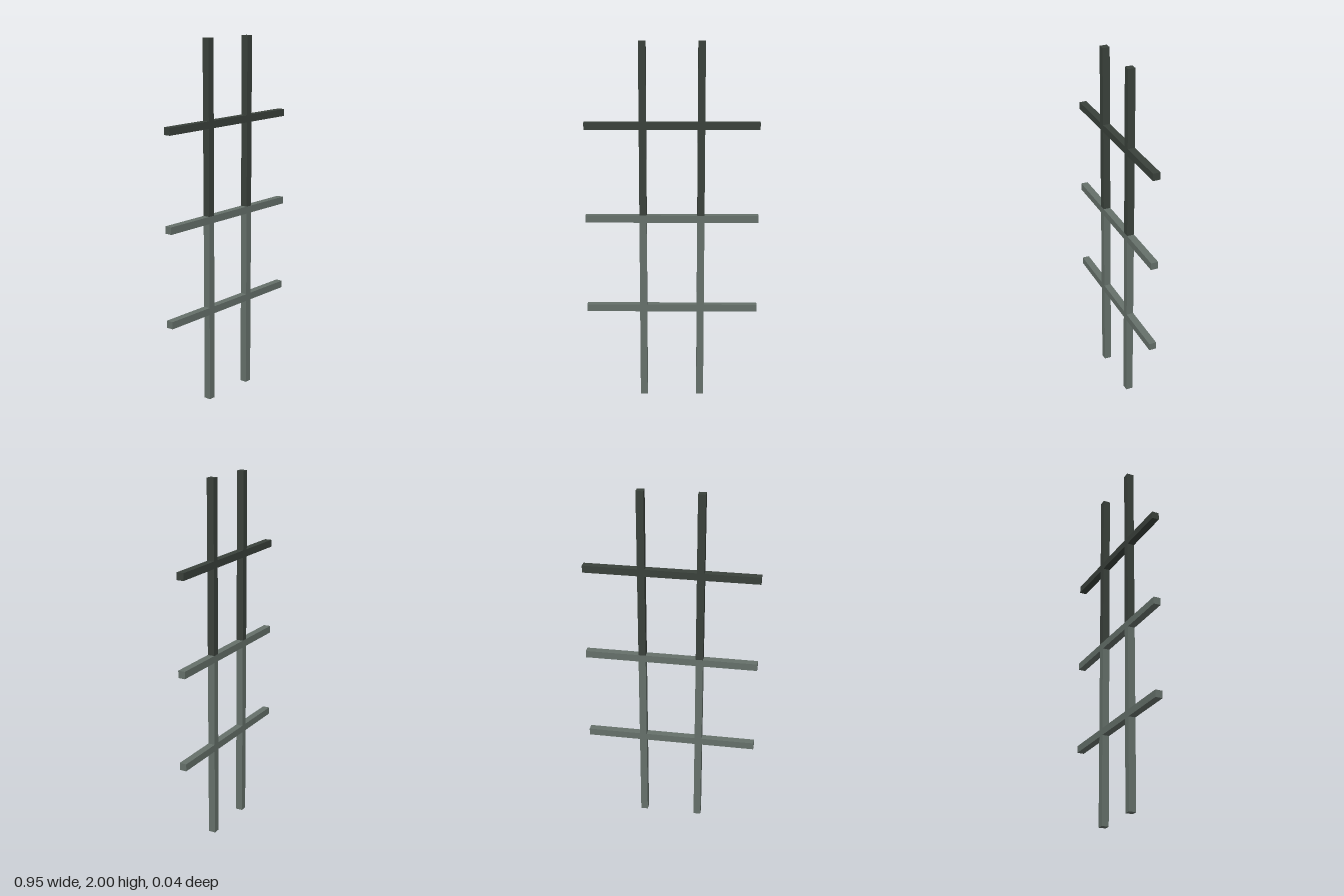
import * as THREE from 'three';

const T = 0.04; // square bar thickness

export function createModel() {
  const model = new THREE.Group();
  model.name = 'lattice';

  const lightMetal = new THREE.MeshStandardMaterial({ color: 0x65706a });
  lightMetal.name = 'light grey green';
  const darkMetal = new THREE.MeshStandardMaterial({ color: 0x3a413b });
  darkMetal.name = 'dark grey green';

  const addBar = (name, width, height, x, y, material) => {
    const bar = new THREE.Mesh(new THREE.BoxGeometry(width, height, T), material);
    bar.name = name;
    bar.position.set(x, y, 0);
    model.add(bar);
  };

  // Uprights: light below the middle rail's top, dark above it
  const split = 1.055;
  for (const [side, x] of [['left', 0.159], ['right', -0.159]]) {
    addBar(`${side}LowerPost`, T, split, x, split / 2, lightMetal);
    addBar(`${side}UpperPost`, T, 2 - split, x, (2 + split) / 2, darkMetal);
  }

  // Cross rails
  const rails = [
    ['lowerRail', 0.52, lightMetal],
    ['middleRail', 1.035, lightMetal],
    ['upperRail', 1.55, darkMetal],
  ];
  for (const [name, y, material] of rails) addBar(name, 0.952, T, 0, y, material);

  return model;
}
